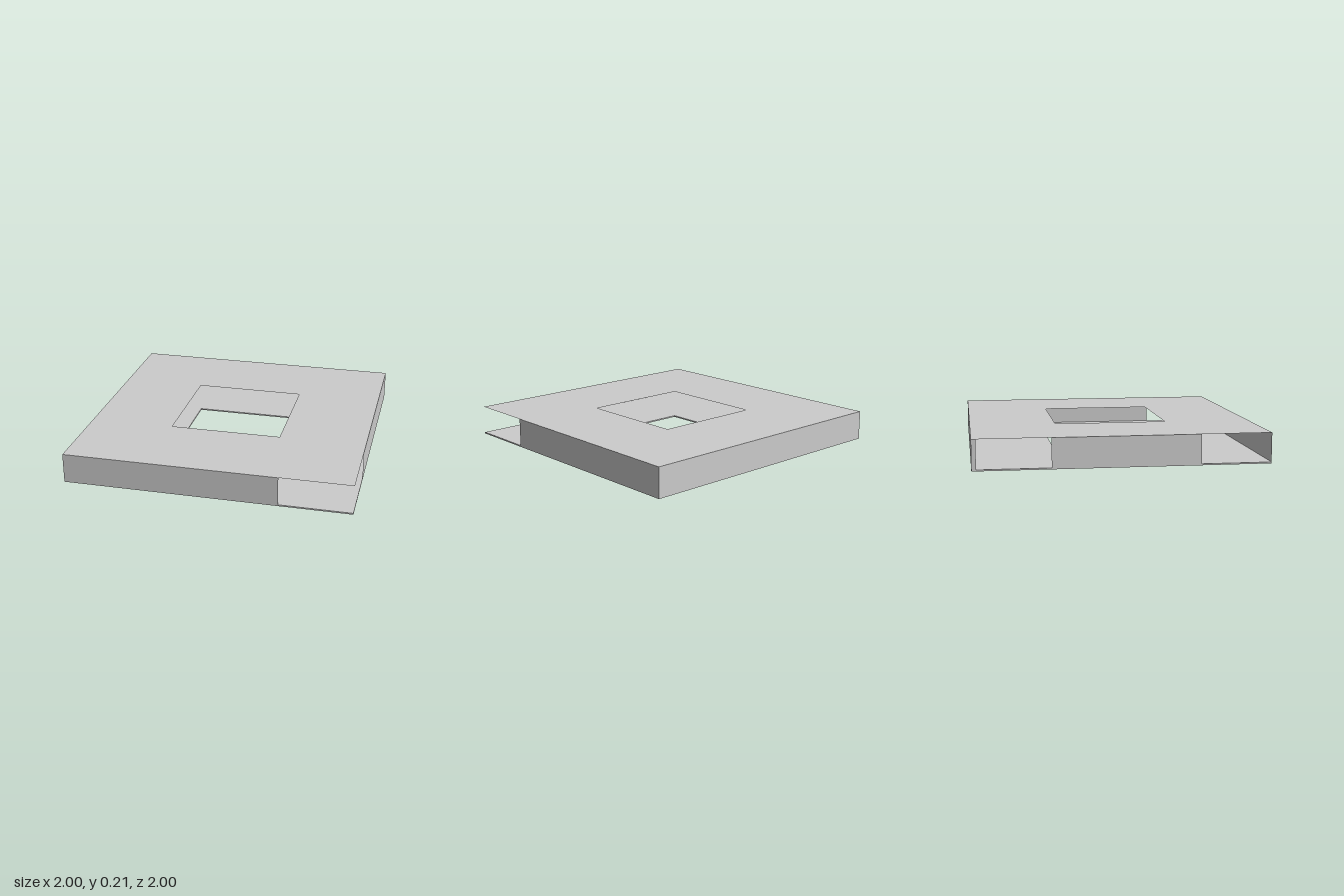
import * as THREE from 'three';

const H = 0.21;

const material = new THREE.MeshStandardMaterial({ color: 0xcccccc, side: THREE.DoubleSide, flatShading: true });

function rect(Type, x0, y0, x1, y1) {
  return new Type([[x0, y0], [x1, y0], [x1, y1], [x0, y1]].map(([x, y]) => new THREE.Vector2(x, y)));
}

// square floor plan with the central opening
function plan() {
  const shape = rect(THREE.Shape, -1, -1, 1, 1);
  shape.holes.push(rect(THREE.Path, -0.4, -0.39, 0.39, 0.4));
  return shape;
}

export function createModel() {
  const group = new THREE.Group();
  const add = (name, geometry) => {
    const mesh = new THREE.Mesh(geometry, material);
    mesh.name = name;
    group.add(mesh);
    return mesh;
  };

  // thin floor slab
  add('floorSlab', new THREE.ExtrudeGeometry(plan(), { depth: 0.01, bevelEnabled: false }).rotateX(-Math.PI / 2));

  // roof sheet
  add('roof', new THREE.ShapeGeometry(plan()).rotateX(-Math.PI / 2)).position.y = H;

  // single-sheet walls running between two plan points [x, z], outside facing out
  const wall = (name, [xa, za], [xb, zb]) => {
    const mesh = add(name, new THREE.PlaneGeometry(Math.hypot(xb - xa, zb - za), H));
    mesh.position.set((xa + xb) / 2, H / 2, (za + zb) / 2);
    mesh.rotation.y = Math.atan2(za - zb, xb - xa);
  };
  wall('frontWall', [-1, 1], [0.5, 1]);
  wall('rightWall', [1, 0.52], [1, -1]);
  wall('backWall', [1, -1], [-1, -1]);
  wall('leftWall', [-1, -0.48], [-1, 0.52]);
  wall('leftCornerStrip', [-1, -1], [-1, -0.97]);

  return group;
}
